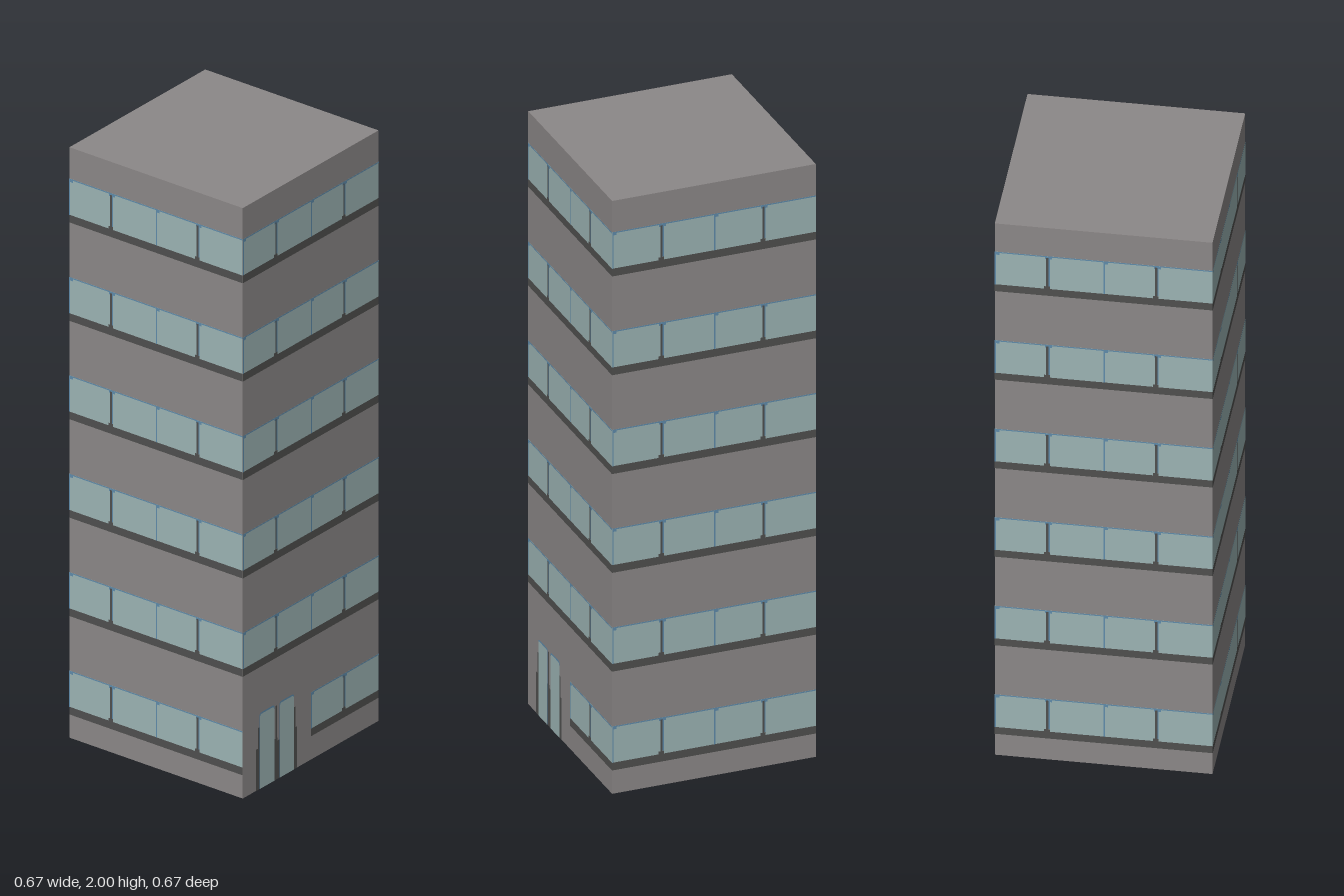
import * as THREE from 'three';

const HALF = 1 / 3;      // half the tower width
const FLOOR = 1 / 3;     // storey height
const FLOORS = 6;

const material = (name, color) => {
  const m = new THREE.MeshStandardMaterial({ color });
  m.name = name;
  return m;
};

export function createModel() {
  const wall = material('wall grey', 0x8c8888);
  const glass = material('pale glass', 0x9cb4b4);
  const dark = material('dark trim', 0x50504f);
  const blue = material('blue frame', 0x5f8bab);

  const tower = new THREE.Group();
  tower.name = 'tower';

  const body = new THREE.Mesh(new THREE.BoxGeometry(2 * HALF, 2, 2 * HALF), wall);
  body.name = 'towerBody';
  body.position.y = 1;
  tower.add(body);

  // Painted rectangle on a facade; higher layers sit slightly further out
  const panel = (parent, name, mat, x0, x1, y0, y1, layer) => {
    const mesh = new THREE.Mesh(new THREE.PlaneGeometry(x1 - x0, y1 - y0), mat);
    mesh.name = name;
    mesh.position.set((x0 + x1) / 2, (y0 + y1) / 2, HALF + layer * 0.0006);
    parent.add(mesh);
  };

  // Window strip with sill, top frame and mullions
  const windowBand = (parent, floor, start) => {
    const band = new THREE.Group();
    band.name = 'windowBand';
    band.position.y = floor * FLOOR;
    parent.add(band);
    panel(band, 'sill', dark, start, HALF, 0.079, 0.105, 1);
    panel(band, 'glass', glass, start, HALF, 0.105, 0.228, 1);
    panel(band, 'topFrame', blue, start, HALF, 0.224, 0.228, 2);
    for (const x of [-HALF, 0]) {
      if (x < start) continue;
      panel(band, 'paneEdge', blue, x, x + 0.004, 0.105, 0.228, 2);
      panel(band, 'paneCorner', blue, x, x + 0.014, 0.217, 0.228, 2);
    }
    for (const x of [-HALF / 2, HALF / 2]) {
      if (x < start) continue;
      panel(band, 'mullion', dark, x - 0.009, x - 0.002, 0.105, 0.222, 3);
      panel(band, 'mullionFoot', dark, x - 0.015, x + 0.002, 0.105, 0.115, 3);
      panel(band, 'mullionFrame', blue, x - 0.002, x + 0.002, 0.115, 0.228, 2);
      panel(band, 'mullionHead', blue, x - 0.013, x + 0.009, 0.217, 0.228, 2);
    }
  };

  // Four facades, each a turned copy; the front ground floor leaves room for the door
  const names = ['frontFacade', 'leftFacade', 'backFacade', 'rightFacade'];
  names.forEach((name, side) => {
    const facade = new THREE.Group();
    facade.name = name;
    facade.rotation.y = side * Math.PI / 2;
    for (let i = 0; i < FLOORS; i++) {
      windowBand(facade, i, side === 0 && i === 0 ? 0 : -HALF);
    }
    tower.add(facade);
  });

  // Double door: two glass leaves with clipped tops, dark jambs beside them
  const door = new THREE.Group();
  door.name = 'door';
  tower.add(door);
  const leaf = (name, mat, x0, x1, top, layer) => {
    const c = 0.01;
    const shape = new THREE.Shape();
    shape.moveTo(x0, 0);
    shape.lineTo(x1, 0);
    shape.lineTo(x1, top - c);
    shape.quadraticCurveTo(x1, top, x1 - c, top);
    shape.lineTo(x0 + c, top);
    shape.quadraticCurveTo(x0, top, x0, top - c);
    const mesh = new THREE.Mesh(new THREE.ShapeGeometry(shape, 4), mat);
    mesh.name = name;
    mesh.position.z = HALF + layer * 0.0006;
    door.add(mesh);
  };
  for (const [x0, x1] of [[-0.25, -0.18], [-0.152, -0.084]]) {
    leaf('doorLeafFrame', blue, x0 - 0.002, x1 + 0.002, 0.257, 1);
    leaf('doorLeaf', glass, x0, x1, 0.252, 2);
  }
  panel(door, 'outerJamb', dark, -0.27, -0.252, 0, 0.14, 1);
  panel(door, 'outerJambTop', dark, -0.259, -0.252, 0.14, 0.21, 1);
  panel(door, 'innerJamb', dark, -0.178, -0.163, 0, 0.14, 1);
  panel(door, 'innerJambTop', dark, -0.174, -0.167, 0.14, 0.25, 1);
  panel(door, 'middleJamb', dark, -0.163, -0.154, 0, 0.13, 1);
  panel(door, 'farJamb', dark, -0.082, -0.068, 0, 0.14, 1);
  panel(door, 'farJambTop', dark, -0.082, -0.076, 0.14, 0.21, 1);

  return tower;
}
